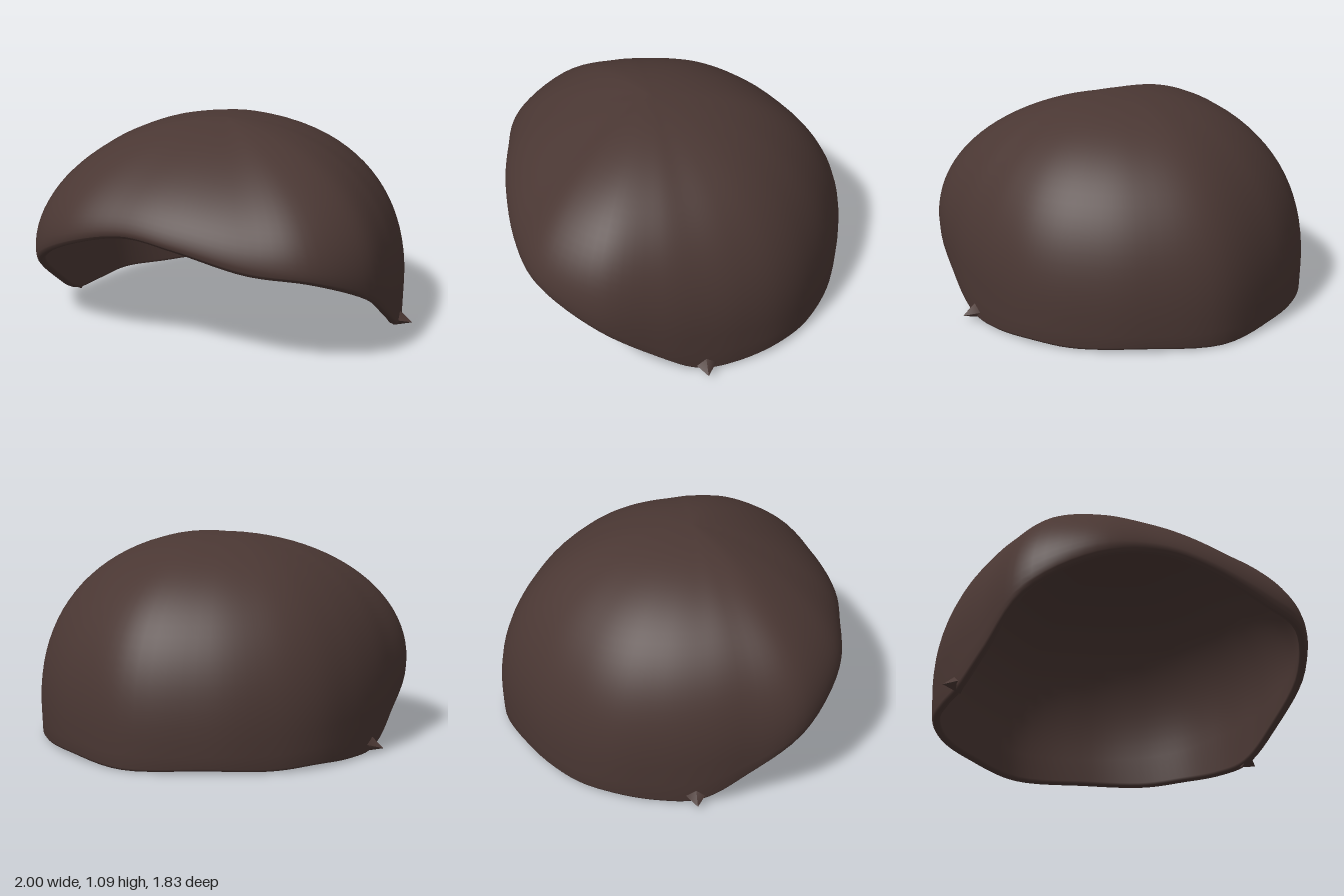
import * as THREE from 'three';
import { mergeVertices } from 'three/addons/utils/BufferGeometryUtils.js';

const APEX = { y: 1.1, z: 0.12 };
const THICKNESS = 0.05;
const AROUND = 112;
const UP = 24;

// Stations around the dome: x, z of the widest line, its height, roundness, rim height
const stations = [
  [0, 0.91, 0.62, 1.55, 0.59],
  [0.36, 0.905, 0.55, 1.6, 0.51],
  [0.67, 0.82, 0.51, 1.75, 0.47],
  [0.89, 0.57, 0.42, 2.0, 0.34],
  [0.94, 0.27, 0.3, 2.2, 0.15],
  [0.94, 0.05, 0.25, 2.2, 0.03],
  [0.91, -0.17, 0.23, 2.2, 0.015],
  [0.83, -0.4, 0.2, 2.2, 0.025],
  [0.67, -0.6, 0.18, 2.2, 0.015],
  [0.4, -0.79, 0.17, 2.2, 0.025],
  [0, -0.915, 0.17, 2.2, 0.01],
  [-0.4, -0.79, 0.17, 2.2, 0.025],
  [-0.67, -0.6, 0.18, 2.2, 0.015],
  [-0.83, -0.4, 0.2, 2.2, 0.025],
  [-0.91, -0.17, 0.23, 2.2, 0.015],
  [-0.945, 0.05, 0.25, 2.2, 0.03],
  [-0.94, 0.27, 0.3, 2.2, 0.15],
  [-0.9, 0.57, 0.42, 2.0, 0.36],
  [-0.64, 0.79, 0.57, 1.7, 0.53],
  [-0.3, 0.865, 0.65, 1.55, 0.62],
];

const closedCurve = (pick) => new THREE.CatmullRomCurve3(
  stations.map((s) => new THREE.Vector3(...pick(s))), true, 'catmullrom', 0.5);

// Section of the shell at one station: down the outside, around the rim, up the inside
function section(base, extra) {
  const rx = base.x, rz = base.z - APEX.z, y0 = base.y;
  const n = extra.x, rim = extra.y;
  const radius = Math.hypot(rx, rz);
  const points = [];
  const add = (r, y) => points.push(rx * r / radius, y, APEX.z + rz * r / radius);
  const dome = (phi, offset) => {
    const s = Math.max(0, Math.sin(phi)) ** (2 / n);
    const c = Math.max(0, Math.cos(phi)) ** (2 / n);
    add((radius - offset) * s, y0 + (APEX.y - offset - y0) * c);
  };
  for (let i = 0; i <= UP; i++) dome(i / UP * Math.PI / 2, 0);
  add(radius - 0.003, (y0 + rim) / 2);
  add(radius - 0.006, rim + 0.015);
  add(radius - 0.015, rim + 0.002);
  add(radius - THICKNESS / 2, rim);
  add(radius - THICKNESS + 0.005, rim + 0.006);
  add(radius - THICKNESS, rim + 0.02);
  for (let i = UP; i >= 0; i--) dome(i / UP * Math.PI / 2, THICKNESS);
  return points;
}

function shellGeometry() {
  const baseCurve = closedCurve((s) => [s[0], s[2], s[1]]);
  const extraCurve = closedCurve((s) => [s[3], s[4], 0]);
  const positions = [], index = [];
  let rows = 0;
  for (let j = 0; j < AROUND; j++) {
    const t = j / AROUND;
    const pts = section(baseCurve.getPoint(t), extraCurve.getPoint(t));
    rows = pts.length / 3;
    positions.push(...pts);
  }
  for (let j = 0; j < AROUND; j++) {
    const a = j * rows, b = ((j + 1) % AROUND) * rows;
    for (let i = 0; i < rows - 1; i++) {
      // The first and last rows meet at a pole
      if (i < rows - 2) index.push(a + i, a + i + 1, b + i + 1);
      if (i > 0) index.push(a + i, b + i + 1, b + i);
      if (i === rows - 2) index.push(a + i, a + i + 1, b + i);
    }
  }
  let geo = new THREE.BufferGeometry();
  geo.setAttribute('position', new THREE.Float32BufferAttribute(positions, 3));
  geo.setIndex(index);
  geo = mergeVertices(geo, 1e-4);
  geo.computeVertexNormals();
  return geo;
}

export function createModel() {
  const model = new THREE.Group();
  model.name = 'domedCap';
  const material = new THREE.MeshStandardMaterial({ color: 0x4a3733, side: THREE.DoubleSide });

  const shell = new THREE.Mesh(shellGeometry(), material);
  shell.name = 'shell';
  model.add(shell);

  // Small pointed flares at the lower side corners
  for (const side of [1, -1]) {
    const geo = new THREE.ConeGeometry(0.075, 0.1, 4);
    geo.scale(0.75, 1, 1);
    geo.rotateZ(-side * Math.PI / 2);
    const p = geo.attributes.position;
    for (let i = 0; i < p.count; i++) {
      if (p.getX(i) * side > 0.04) p.setY(i, p.getY(i) - 0.03);
    }
    geo.computeVertexNormals();
    const flare = new THREE.Mesh(geo, material);
    flare.name = side > 0 ? 'leftFlare' : 'rightFlare';
    flare.position.set(side * 0.95, 0.07, 0.02);
    model.add(flare);
  }
  return model;
}
